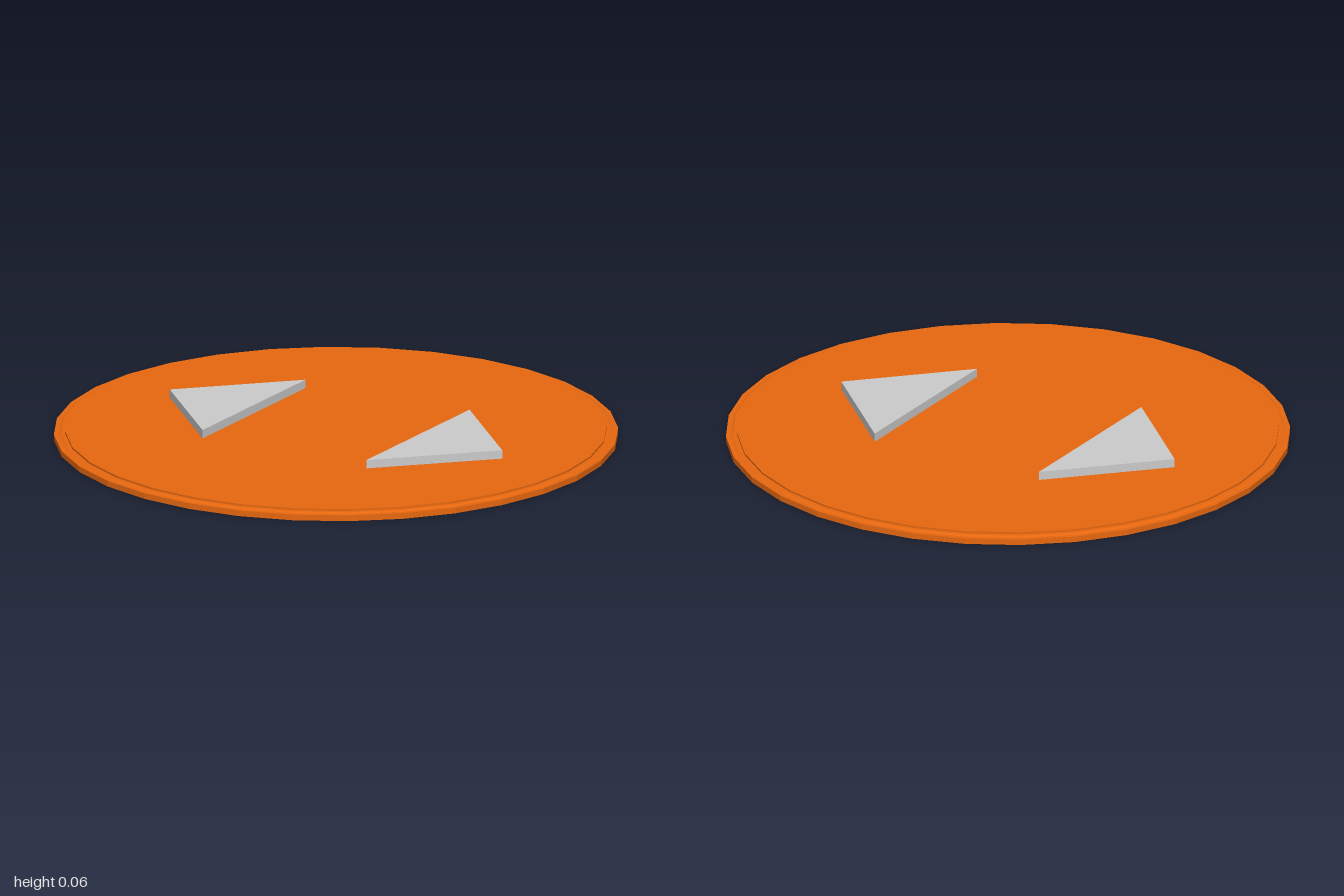
import * as THREE from 'three';

export function createModel() {
  const model = new THREE.Group();
  const orange = new THREE.MeshStandardMaterial({ color: 0xe8680f, flatShading: true });
  const grey = new THREE.MeshStandardMaterial({ color: 0xcccccc, flatShading: true });

  // Thin 32-sided disc with a stepped rim
  const profile = [
    [0, 0], [1, 0], [1, 0.021], [0.983, 0.021], [0.975, 0.025],
    [0.96, 0.025], [0.96, 0.032], [0, 0.032],
  ].map(([r, y]) => new THREE.Vector2(r, y));
  const disc = new THREE.Mesh(new THREE.LatheGeometry(profile, 32), orange);
  disc.name = 'disc';
  model.add(disc);

  // Raised triangles pointing outward to each side
  const outline = new THREE.Shape([
    new THREE.Vector2(0.34, -0.35),
    new THREE.Vector2(0.69, 0),
    new THREE.Vector2(0.34, 0.35),
  ]);
  const triangle = new THREE.ExtrudeGeometry(outline, { depth: 0.031, bevelEnabled: false });
  triangle.rotateX(-Math.PI / 2).translate(0, 0.032, 0);
  ['leftArrow', 'rightArrow'].forEach((name, i) => {
    const arrow = new THREE.Mesh(triangle, grey);
    arrow.name = name;
    arrow.rotation.y = i * Math.PI;
    model.add(arrow);
  });

  return model;
}
